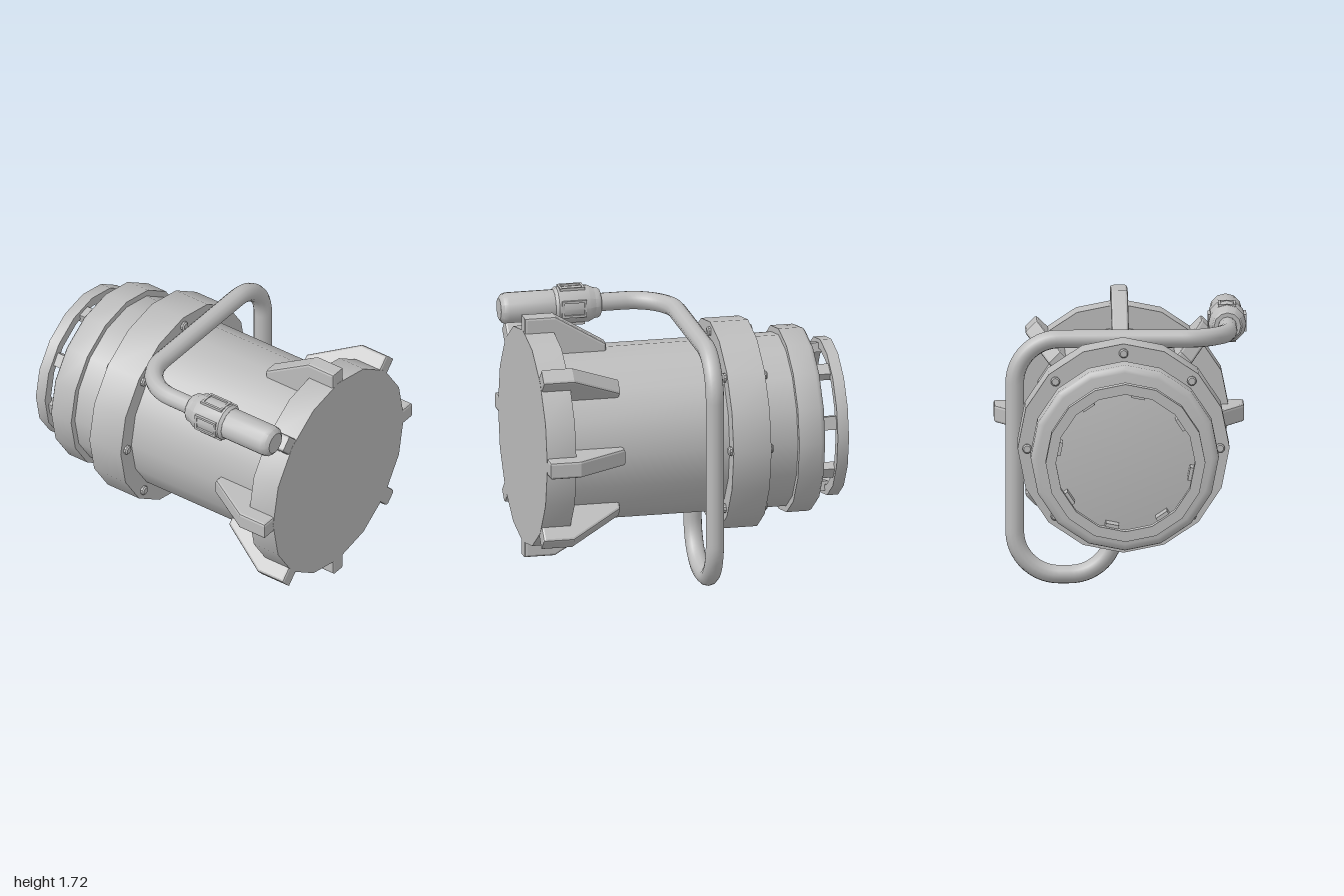
import * as THREE from 'three';
import { toCreasedNormals } from 'three/addons/utils/BufferGeometryUtils.js';

const AXIS_Y = 0.94;

export function createModel() {
  const model = new THREE.Group();
  const metal = new THREE.MeshStandardMaterial({ color: 0xbcbcbc });
  metal.name = 'grey metal';

  const add = (name, geometry, parent = model) => {
    const mesh = new THREE.Mesh(geometry, metal);
    mesh.name = name;
    parent.add(mesh);
    return mesh;
  };

  // Solid of revolution about z; points are [radius, z] with the outside run in rising z
  const turned = (points, sides = 16) => {
    const g = new THREE.LatheGeometry(points.map(([r, z]) => new THREE.Vector2(r, z)), sides);
    g.rotateX(Math.PI / 2);
    return toCreasedNormals(g, 0.6);
  };
  const disc = (r, z0, z1) => turned([[0, z0], [r, z0], [r, z1], [0, z1]]);

  // Main housing, centred on its own axis
  const housing = new THREE.Group();
  housing.name = 'housing';
  housing.position.y = AXIS_Y;
  model.add(housing);

  add('barrel', disc(0.555, -0.7, 0.85), housing);
  add('frontCollar', disc(0.7, 0.81, 1), housing);
  add('flange', disc(0.67, -0.46, -0.215), housing);
  add('rearCap', turned([
    [0, -0.835], [0.55, -0.835], [0.572, -0.83], [0.588, -0.818],
    [0.595, -0.8], [0.595, -0.658], [0, -0.658],
  ]), housing);
  add('rearRing', turned([
    [0.44, -1], [0.505, -1], [0.505, -0.928], [0.44, -0.928], [0.44, -1],
  ]), housing);

  // Fin profile: x runs along the housing, y is the distance from the axis
  const bevel = 0.016;
  const finShape = new THREE.Shape([
    [0.47, 0.5], [0.999, 0.5], [0.999, 0.79], [0.8, 0.79], [0.47, 0.59],
  ].map(([z, r]) => new THREE.Vector2(z, r)));
  const finDepth = 0.11 - 2 * bevel;
  const finGeometry = new THREE.ExtrudeGeometry(finShape, {
    depth: finDepth, bevelEnabled: true, bevelSegments: 2,
    bevelSize: bevel, bevelThickness: bevel, bevelOffset: -bevel,
  });
  finGeometry.translate(0, 0, -finDepth / 2);
  finGeometry.rotateY(-Math.PI / 2);

  const boltGeometry = turned([
    [0, -0.484], [0.022, -0.484], [0.03, -0.474], [0.03, -0.201],
    [0.022, -0.192], [0, -0.192],
  ], 10);
  boltGeometry.translate(0, 0.61, 0);

  const postGeometry = new THREE.BoxGeometry(0.085, 0.06, 0.13);
  postGeometry.translate(0, 0.44, -0.885);

  // Eight fins, flange bolts and rear posts around the axis
  for (let i = 0; i < 8; i++) {
    const angle = (i * Math.PI) / 4;
    add('fin', finGeometry, housing).rotation.z = angle;
    add('flangeBolt', boltGeometry, housing).rotation.z = angle;
    add('rearPost', postGeometry, housing).rotation.z = angle + Math.PI / 16;
  }

  // Pipe: straight runs joined by round elbows
  const corners = [
    [-0.675, 1.577, 0.45], [-0.675, 1.577, -0.09], [0.68, 1.577, -0.09],
    [0.68, 0.068, -0.09], [0.05, 0.068, -0.09], [0.05, 0.46, -0.09],
  ].map((p) => new THREE.Vector3(...p));
  const elbow = 0.28;
  const path = new THREE.CurvePath();
  let from = corners[0];
  for (let i = 1; i < corners.length - 1; i++) {
    const c = corners[i];
    const toward = (p, d) => c.clone().add(p.clone().sub(c).setLength(d));
    const start = toward(corners[i - 1], elbow);
    const end = toward(corners[i + 1], elbow);
    path.add(new THREE.LineCurve3(from, start));
    path.add(new THREE.CubicBezierCurve3(
      start, toward(corners[i - 1], elbow * 0.45), toward(corners[i + 1], elbow * 0.45), end));
    from = end;
  }
  path.add(new THREE.LineCurve3(from, corners[corners.length - 1]));
  add('pipe', new THREE.TubeGeometry(path, 120, 0.059, 12, false));

  // Nozzle on the free end of the pipe
  const nozzle = new THREE.Group();
  nozzle.name = 'nozzle';
  nozzle.position.set(-0.675, 1.577, 0);
  model.add(nozzle);
  add('nozzleTip', turned([
    [0, 0.6], [0.104, 0.6], [0.104, 0.95], [0.095, 0.98], [0.07, 1], [0, 1],
  ], 12), nozzle);
  add('nozzleCollar', turned([
    [0, 0.35], [0.085, 0.35], [0.097, 0.365], [0.1, 0.39], [0.12, 0.43],
    [0.12, 0.63], [0.105, 0.65], [0, 0.65],
  ], 12), nozzle);

  // Framed panels on the four sides of the collar
  const frameShape = new THREE.Shape([
    [-0.055, -0.08], [0.055, -0.08], [0.055, 0.08], [-0.055, 0.08],
  ].map((p) => new THREE.Vector2(...p)));
  frameShape.holes.push(new THREE.Path([
    [-0.04, -0.065], [-0.04, 0.065], [0.04, 0.065], [0.04, -0.065],
  ].map((p) => new THREE.Vector2(...p))));
  const frameGeometry = new THREE.ExtrudeGeometry(frameShape, { depth: 0.02, bevelEnabled: false });
  frameGeometry.rotateX(-Math.PI / 2);
  frameGeometry.translate(0, 0.102, 0.535);
  for (let i = 0; i < 4; i++) {
    add('nozzleFrame', frameGeometry, nozzle).rotation.z = (i * Math.PI) / 2;
  }

  return model;
}
